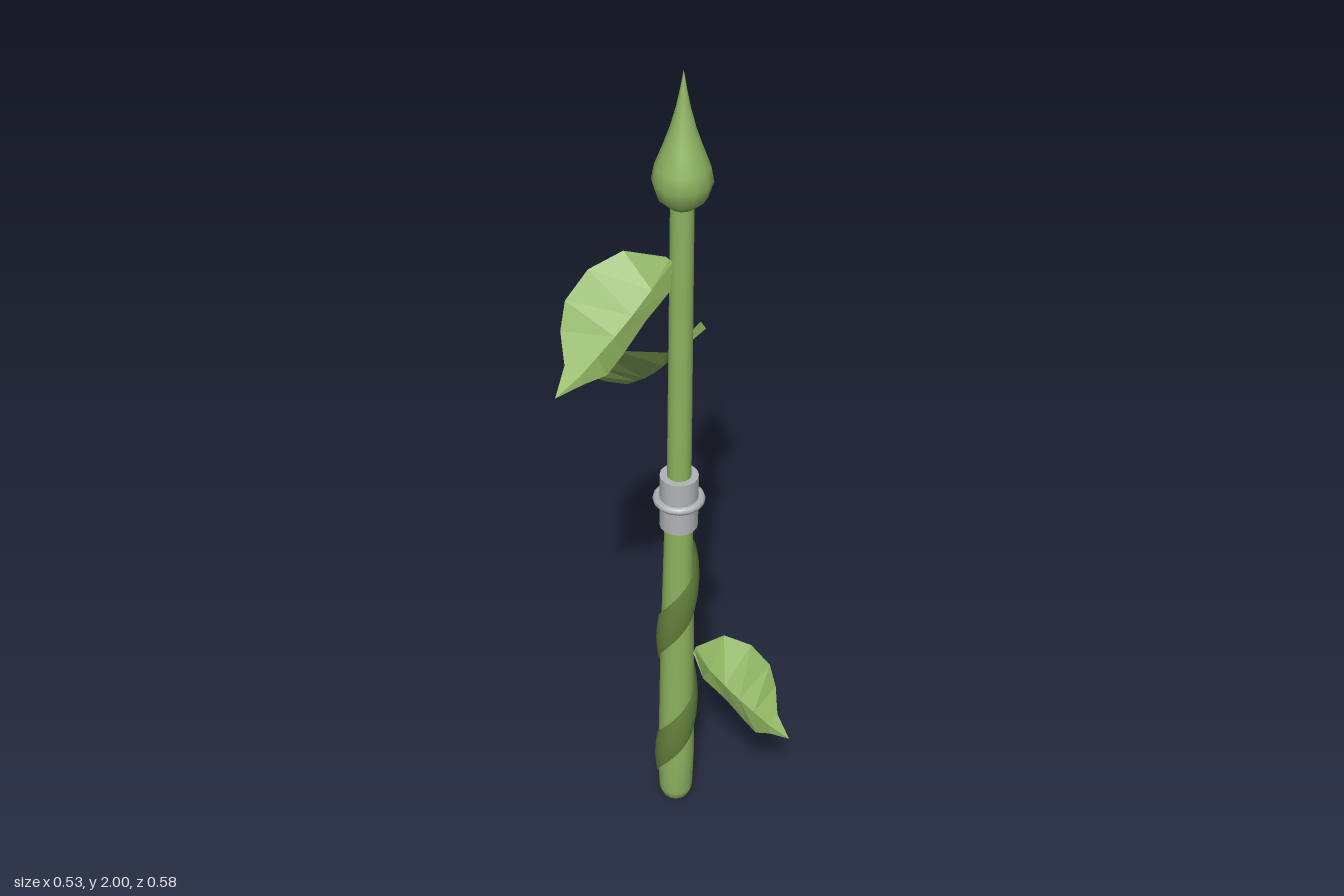
import * as THREE from 'three';

const green = new THREE.MeshStandardMaterial({ name: 'stemGreen', color: 0x8db35f });
const leafGreen = new THREE.MeshStandardMaterial({ name: 'leafGreen', color: 0x8db35f });
leafGreen.side = THREE.DoubleSide;
leafGreen.flatShading = true;
const vineGreen = new THREE.MeshStandardMaterial({ name: 'vineGreen', color: 0x647f3a });
vineGreen.side = THREE.DoubleSide;
const metal = new THREE.MeshStandardMaterial({ name: 'greyMetal', color: 0xb2b3b5 });

function add(parent, name, geometry, material) {
  const mesh = new THREE.Mesh(geometry, material);
  mesh.name = name;
  parent.add(mesh);
  return mesh;
}

const lathe = (points, sides) =>
  new THREE.LatheGeometry(points.map(([r, y]) => new THREE.Vector2(r, y)), sides);

// Grid of vertices: rows of equal length joined into quads
function gridGeometry(rows) {
  const n = rows[0].length, index = [];
  for (let i = 0; i < rows.length - 1; i++) {
    for (let j = 0; j < n - 1; j++) {
      const a = i * n + j, b = a + n;
      index.push(a, a + 1, b, b, a + 1, b + 1);
    }
  }
  const g = new THREE.BufferGeometry();
  g.setAttribute('position', new THREE.Float32BufferAttribute(rows.flat(2), 3));
  g.setIndex(index);
  g.computeVertexNormals();
  return g;
}

// Cupped leaf pointing along +z: midrib [y, z] and raised edge [x, y, z]
function leafGeometry() {
  const rib = [[0, 0], [-0.07, 0.05], [-0.125, 0.105], [-0.17, 0.155], [-0.21, 0.205], [-0.25, 0.255], [-0.29, 0.327]];
  const edge = [[0.015, 0, 0], [0.108, -0.01, 0.065], [0.135, -0.05, 0.15], [0.138, -0.12, 0.215],
    [0.112, -0.185, 0.245], [0.047, -0.24, 0.272], [0, -0.29, 0.327]];
  return gridGeometry(rib.map(([y, z], i) => {
    const [ex, ey, ez] = edge[i];
    return [[-ex, ey, ez], [0, y, z], [ex, ey, ez]];
  }));
}

// Flat ribbon winding up the lower stem, narrowing at both ends
function vineGeometry() {
  const rows = [], steps = 72;
  for (let i = 0; i <= steps; i++) {
    const t = i / steps;
    const angle = Math.PI * (-1.25 + 4.25 * t);
    const y = 0.27 + angle / (2 * Math.PI) * 0.38;
    const half = 0.012 + 0.052 * Math.min(1, t / 0.12, (1 - t) / 0.15);
    const r = 0.053 - 0.004 * t;
    rows.push([-1, -0.6, 0, 0.6, 1].map((k) => {
      const rr = r - 0.006 * k * k;
      return [rr * Math.sin(angle), Math.max(0.03, y + k * half), rr * Math.cos(angle)];
    }));
  }
  return gridGeometry(rows);
}

export function createModel() {
  const model = new THREE.Group();
  model.name = 'leafyStaff';
  const staff = new THREE.Group();
  staff.name = 'staff';
  staff.position.set(0.043, 0, 0.077);
  model.add(staff);

  // Stem with a rounded foot, thinner above the collar
  add(staff, 'lowerStem', lathe([[0, 0], [0.018, 0.004], [0.033, 0.016], [0.041, 0.04],
    [0.044, 0.15], [0.04, 0.5], [0.032, 0.9]], 16), green);
  add(staff, 'upperStem', new THREE.CylinderGeometry(0.025, 0.028, 0.85, 16).translate(0, 1.305, 0), green);
  add(staff, 'vine', vineGeometry(), vineGreen);

  // Pointed bud
  add(staff, 'bud', lathe([[0, 1.69], [0.028, 1.698], [0.052, 1.72], [0.064, 1.757], [0.058, 1.79],
    [0.042, 1.832], [0.027, 1.875], [0.015, 1.92], [0.007, 1.96], [0, 2]], 12), green);

  // Metal collar and ring
  add(staff, 'collar', new THREE.CylinderGeometry(0.044, 0.044, 0.14, 16).translate(0, 0.942, 0), metal);
  const ring = add(staff, 'collarRing', new THREE.TorusGeometry(0.05, 0.01, 8, 16), metal);
  ring.rotation.x = Math.PI / 2;
  ring.position.y = 0.947;

  // Leaves: [name, stem height, heading x, heading z, root offset, scale]
  const shape = leafGeometry();
  for (const [name, y, dx, dz, offset, scale] of [
    ['backLeaf', 1.32, 0, -1, 0.037, 1],
    ['rightLeaf', 1.58, -0.303, 0.043, 0.03, 0.85],
    ['frontLeaf', 0.5, 0.207, 0.193, 0.043, 0.74],
  ]) {
    const leaf = add(staff, name, shape, leafGreen);
    const heading = new THREE.Vector3(dx, 0, dz).normalize();
    leaf.position.copy(heading).multiplyScalar(offset).setY(y);
    leaf.rotation.y = Math.atan2(dx, dz);
    leaf.scale.setScalar(scale);
  }
  return model;
}
